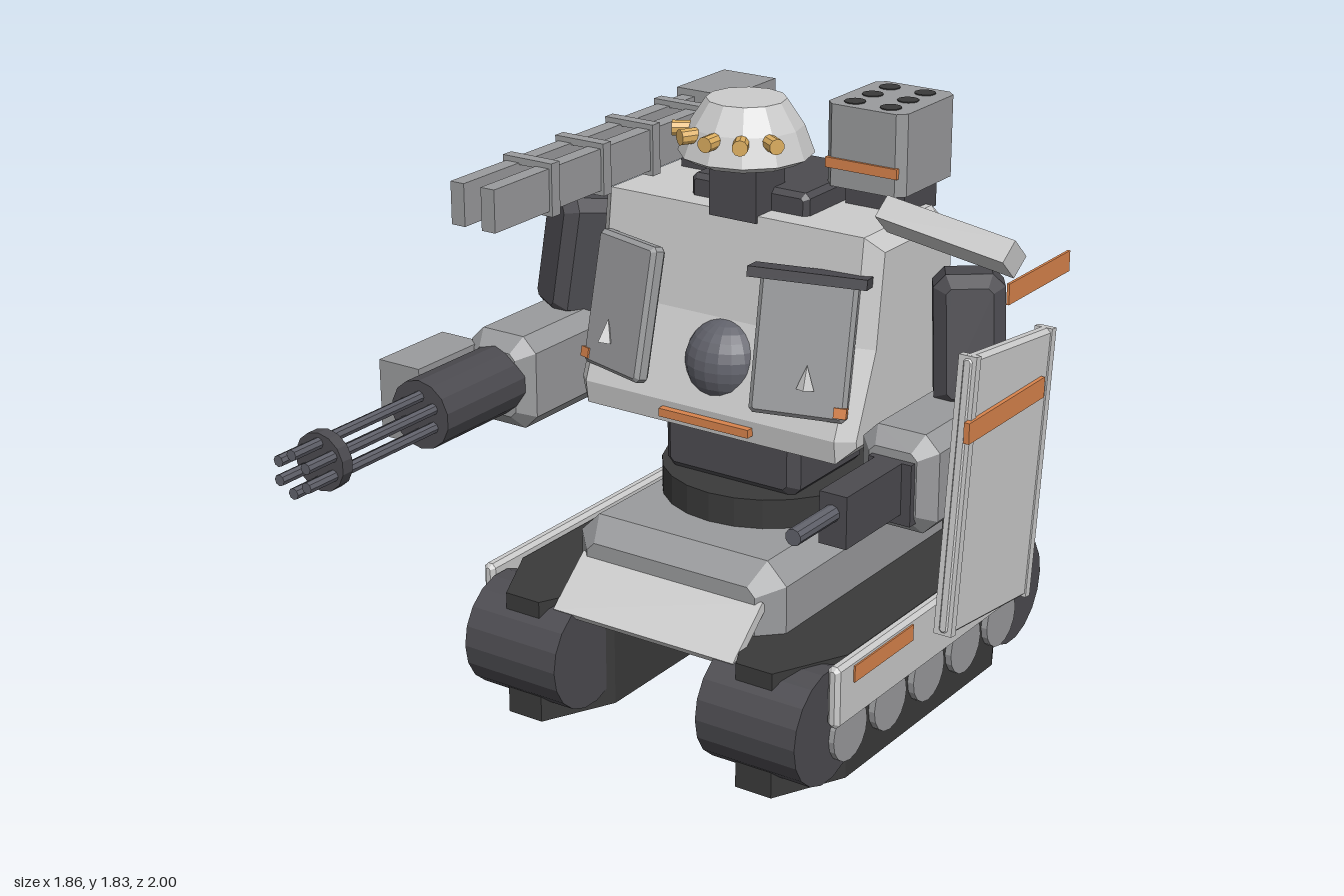
import * as THREE from 'three';

const mat = (color) => new THREE.MeshStandardMaterial({ color, flatShading: true });
const light = mat(0xcccccc), grey = mat(0x9a9b9d), dark = mat(0x4c4b50), black = mat(0x3a3a3a);
const steel = mat(0x60616a), orange = mat(0xd9844c), gold = mat(0xdcae60);

export function createModel() {
  const root = new THREE.Group();

  const add = (name, geo, material, pos, rot = [0, 0, 0]) => {
    const m = new THREE.Mesh(geo, material);
    m.name = name;
    m.position.set(...pos);
    m.rotation.set(...rot);
    root.add(m);
    return m;
  };

  // Rectangle with cut corners
  const octagon = (w, h, cx, cy) => {
    const a = w / 2, b = h / 2;
    return new THREE.Shape([
      [a - cx, -b], [a, cy - b], [a, b - cy], [a - cx, b],
      [cx - a, b], [-a, b - cy], [-a, cy - b], [cx - a, -b],
    ].map(([x, y]) => new THREE.Vector2(x, y)));
  };

  // Extrusion with one chamfer, kept inside the outline
  const extrude = (shape, depth, c) => new THREE.ExtrudeGeometry(shape, {
    depth: depth - 2 * c, bevelEnabled: c > 0, bevelThickness: c, bevelSize: c,
    bevelOffset: -c, bevelSegments: 1, steps: 1,
  }).translate(0, 0, c - depth / 2);

  // Box given by its limits, chamfered by c
  const box = (name, material, [x0, x1], [y0, y1], [z0, z1], c = 0, rot) => {
    const w = x1 - x0, h = y1 - y0, d = z1 - z0;
    const geo = c ? extrude(octagon(w, h, c, c), d, c) : new THREE.BoxGeometry(w, h, d);
    return add(name, geo, material, [(x0 + x1) / 2, (y0 + y1) / 2, (z0 + z1) / 2], rot);
  };
  const side = (s, a, b) => (s > 0 ? [a, b] : [-b, -a]);

  // Cylinder lying along z
  const rod = (name, material, r, x, y, z0, z1, n = 12) =>
    add(name, new THREE.CylinderGeometry(r, r, z1 - z0, n).rotateX(Math.PI / 2), material, [x, y, (z0 + z1) / 2]);

  // Flared nozzle with a glowing inside, opening along its local -y
  const nozzle = (name, r0, r1, len, pos, tilt) => {
    const pts = [[0, len / 2], [r0, len / 2], [r1, -len / 2], [r1 * 0.82, -len / 2], [r1 * 0.7, -len * 0.3]];
    const n = add(name, new THREE.LatheGeometry(pts.map((p) => new THREE.Vector2(...p)).reverse(), 10), dark, pos, [tilt, 0, 0]);
    const glow = new THREE.Mesh(new THREE.CircleGeometry(r1 * 0.76, 10).rotateX(Math.PI / 2), gold);
    glow.name = name + 'Glow';
    glow.position.y = -len * 0.36;
    n.add(glow);
  };

  // Tracks, road wheels and skirts
  for (const s of [-1, 1]) {
    add('trackBody', extrude(octagon(0.34, 1.3, 0.11, 0.22), 0.39, 0).rotateX(Math.PI / 2), black, [s * 0.405, 0.195, -0.28]);
    for (const z of [0.255, -0.825])
      add('trackDrum', new THREE.CylinderGeometry(0.175, 0.175, 0.33, 18).rotateZ(Math.PI / 2), dark, [s * 0.413, 0.21, z]);
    for (let i = 0; i < 5; i++)
      add('roadWheel', new THREE.CylinderGeometry(0.09, 0.09, 0.06, 16).rotateZ(Math.PI / 2), grey, [s * 0.565, 0.16, 0.16 - i * 0.22]);
    box('trackSkirt', light, side(s, 0.585, 0.625), [0.22, 0.41], [-0.84, 0.28], 0.012);
    box('skirtStripe', orange, side(s, 0.622, 0.63), [0.34, 0.39], [-0.12, 0.2]);
    nozzle('rearExhaust', 0.05, 0.075, 0.15, [s * 0.2, 0.47, -0.885], 1.37);
    nozzle('backThruster', 0.06, 0.09, 0.16, [s * 0.13, 0.85, -0.75], 0.6);
  }

  // Hull, turntable and waist
  box('hull', grey, [-0.36, 0.36], [0.27, 0.6], [-0.82, 0.2], 0.065);
  box('frontPlate', light, [-0.315, 0.315], [0.32, 0.52], [0.24, 0.27], 0, [-0.86, 0, 0]);
  add('turntable', new THREE.CylinderGeometry(0.32, 0.32, 0.09, 24), black, [0, 0.645, -0.32]);
  box('waist', dark, [-0.235, 0.235], [0.68, 0.89], [-0.49, -0.1], 0.03);

  // Torso: side profile (z, y) extruded across x
  const profile = [[0, 0.88], [0.01, 0.95], [-0.09, 1.2], [-0.13, 1.51], [-0.5, 1.51], [-0.585, 1.44], [-0.585, 0.95], [-0.51, 0.88]];
  const torsoShape = new THREE.Shape(profile.map((p) => new THREE.Vector2(...p)));
  add('torso', extrude(torsoShape, 0.95, 0.045).rotateY(-Math.PI / 2), light, [0, 0, 0]);
  box('backpack', grey, [-0.26, 0.26], [0.93, 1.4], [-0.78, -0.56], 0.045);
  add('chestSphere', new THREE.SphereGeometry(0.13, 20, 14), steel, [0, 1.07, -0.11]);
  box('chestStripe', orange, [-0.155, 0.155], [0.905, 0.93], [-0.01, 0.03]);

  // Chest doors, swept back and leaning
  for (const s of [-1, 1]) {
    const door = new THREE.Group();
    door.name = 'chestDoor';
    door.position.set(s * 0.31, 1.2, -0.02);
    door.rotation.set(-0.2, s * 0.35, s * -0.04, 'YXZ');
    root.add(door);
    const panel = box('doorPanel', grey, [-0.14, 0.14], [-0.2, 0.2], [-0.025, 0.025], 0.012);
    const spike = add('doorSpike', new THREE.ConeGeometry(0.026, 0.07, 4), light, [s * 0.02, -0.08, 0.035]);
    const tab = box('doorTab', orange, side(s, 0.105, 0.142), [-0.185, -0.155], [0.005, 0.03]);
    door.add(panel, spike, tab);
    if (s > 0) door.add(box('doorVisor', dark, [-0.17, 0.17], [0.185, 0.215], [-0.05, 0.06]));
  }

  // Arms and floating shoulder stripes
  for (const s of [-1, 1]) {
    const arm = box('upperArm', dark, [-0.1, 0.1], [-0.19, 0.19], [-0.1, 0.1], 0.035);
    arm.position.set(s * 0.675, 1.22, -0.3);
    arm.rotation.set(-0.1, s * 0.55, s * 0.1, 'ZXY');
    box('forearm', grey, side(s, 0.565, 0.805), [0.78, 1.07], [-0.36, 0.12], 0.045);
    add('elbowBolt', new THREE.BoxGeometry(0.05, 0.06, 0.06), dark, [s * 0.81, 0.95, -0.2], [Math.PI / 4, 0, 0]);
    box('shoulderStripe', orange, side(s, 0.872, 0.88), [1.4, 1.46], [-0.49, -0.14]);
  }

  // Rotary gun on the right arm
  rod('gunHousing', dark, 0.105, -0.69, 0.93, 0.1, 0.46, 14);
  for (let i = 0; i < 6; i++) {
    const a = (i + 0.5) * Math.PI / 3;
    rod('gunBarrel', steel, 0.017, -0.69 + 0.057 * Math.cos(a), 0.93 + 0.057 * Math.sin(a), 0.44, 1, 8);
  }
  rod('barrelRing', dark, 0.087, -0.69, 0.93, 0.85, 0.89, 14);
  box('ammoBox', grey, [-0.925, -0.775], [0.78, 1.02], [0.07, 0.36]);
  box('ammoStripe', orange, [-0.932, -0.92], [0.87, 0.92], [0.08, 0.35]);

  // Small gun on the left arm
  box('smallGun', dark, [0.64, 0.725], [0.85, 1], [0.1, 0.42]);
  box('smallGunMount', dark, [0.62, 0.755], [0.82, 1], [0.1, 0.14]);
  rod('smallGunBarrel', steel, 0.024, 0.68, 0.945, 0.4, 0.61, 10);

  // Shield and loose shoulder plate
  box('shield', light, [0.848, 0.89], [0.5, 1.29], [-0.363, 0.103], 0.012, [-0.11, 0, 0]);
  for (const z of [-0.345, 0.085])
    add('shieldRim', new THREE.BoxGeometry(0.055, 0.79, 0.025), light, [0.867, 0.895 - (z + 0.13) * -0.11, z], [-0.11, 0, 0]);
  box('shieldStripe', orange, [0.885, 0.902], [1.08, 1.14], [-0.33, 0.095]);
  box('shoulderPlate', light, [0.505, 0.925], [1.54, 1.61], [-0.145, -0.055], 0, [-0.75, 0, -0.14]);

  // Head: neck, faceted dome and ring of lights
  box('neckBase', dark, [-0.2, 0.2], [1.49, 1.575], [-0.56, -0.2], 0.015);
  box('neck', dark, [-0.08, 0.08], [1.49, 1.68], [-0.27, -0.12]);
  const domeProfile = [[0, 0], [0.16, 0], [0.195, 0.02], [0.165, 0.1], [0.115, 0.175], [0, 0.175]];
  add('headDome', new THREE.LatheGeometry(domeProfile.map((p) => new THREE.Vector2(...p)), 12), light, [0, 1.655, -0.19]);
  for (let i = -2; i <= 2; i++) {
    const a = i * 0.5;
    add('headLight', new THREE.CylinderGeometry(0.023, 0.023, 0.07, 10).rotateX(Math.PI / 2), gold,
      [0.175 * Math.sin(a), 1.74, -0.19 + 0.175 * Math.cos(a)], [0, a, 0]);
  }

  // Rail cannon on the right shoulder
  box('cannonBase', dark, [-0.385, -0.225], [1.49, 1.59], [-0.6, -0.42]);
  box('cannonBreech', grey, [-0.4, -0.215], [1.57, 1.75], [-0.67, -0.42]);
  for (const x of [-0.382, -0.28]) box('cannonRail', grey, [x, x + 0.045], [1.61, 1.73], [-0.43, 0.655]);
  box('cannonCore', gold, [-0.328, -0.29], [1.655, 1.69], [-0.43, 0.565]);
  for (const z of [-0.31, -0.07, 0.165, 0.4]) {
    for (const y of [1.595, 1.725]) box('cannonClamp', grey, [-0.392, -0.226], [y, y + 0.02], [z - 0.018, z + 0.018]);
    for (const x of [-0.392, -0.246]) box('cannonClampSide', grey, [x, x + 0.02], [1.595, 1.745], [z - 0.018, z + 0.018]);
  }

  // Missile box on the left shoulder
  box('missileBase', dark, [0.215, 0.41], [1.49, 1.58], [-0.56, -0.38]);
  add('missileBox', extrude(octagon(0.26, 0.3, 0.025, 0.025), 0.24, 0).rotateX(Math.PI / 2), grey, [0.3, 1.69, -0.48]);
  for (const x of [0.238, 0.355])
    for (const z of [-0.575, -0.48, -0.385])
      add('missileTube', new THREE.CylinderGeometry(0.031, 0.031, 0.02, 12), black, [x, 1.803, z]);
  box('missileStripe', orange, [0.18, 0.415], [1.625, 1.655], [-0.335, -0.322]);

  return root;
}
